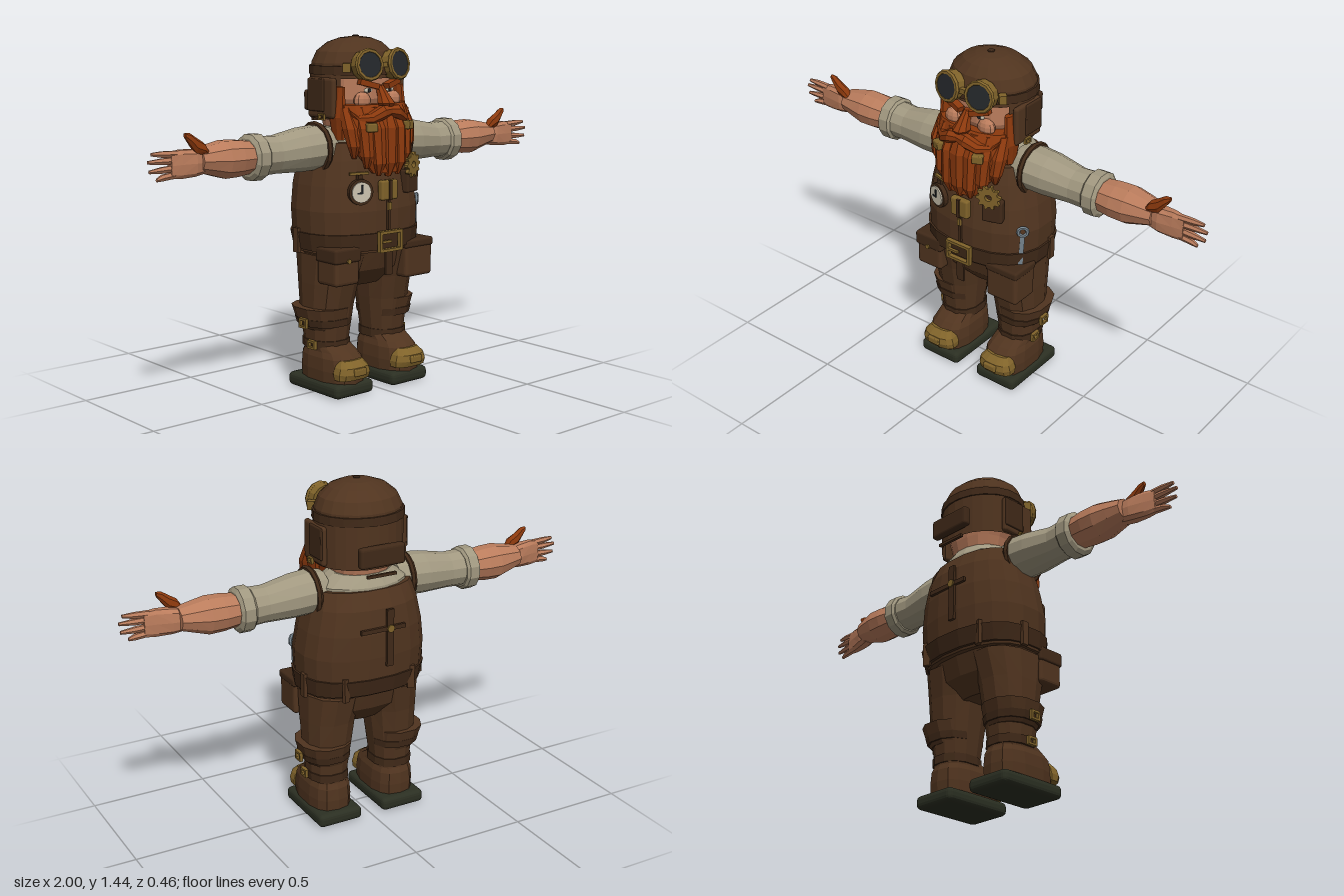
import * as THREE from 'three';
import { RoundedBoxGeometry } from 'three/addons/geometries/RoundedBoxGeometry.js';

const mat = (name, color) => new THREE.MeshStandardMaterial({ name, color });

// Lofts rings [y, cx, cz, rx, rz] upward; e is the superellipse exponent.
function loft(rings, n = 14, e = 2) {
  const pos = [], idx = [], pw = v => Math.sign(v) * Math.abs(v) ** (2 / e);
  for (const [y, cx, cz, rx, rz] of rings)
    for (let j = 0; j < n; j++) {
      const a = (j + 0.5) / n * Math.PI * 2;
      pos.push(cx + rx * pw(Math.cos(a)), y, cz + rz * pw(Math.sin(a)));
    }
  const top = rings.length - 1;
  for (let i = 0; i < top; i++)
    for (let j = 0; j < n; j++) {
      const a = i * n + j, b = i * n + (j + 1) % n;
      idx.push(a, a + n, b, b, a + n, b + n);
    }
  const c = rings.length * n;
  for (const r of [rings[0], rings[top]]) pos.push(r[1], r[0], r[2]);
  for (let j = 0; j < n; j++) {
    const k = (j + 1) % n;
    idx.push(c, j, k, c + 1, top * n + k, top * n + j);
  }
  const g = new THREE.BufferGeometry();
  g.setAttribute('position', new THREE.Float32BufferAttribute(pos, 3));
  g.setIndex(idx);
  return g;
}
// Rings given as [x, y, z, ry, rz], lofted outward along x.
const loftX = (rings, n, e) =>
  loft(rings.map(([x, y, z, ry, rz]) => [x, -y, z, ry, rz]), n, e).rotateZ(-Math.PI / 2);

const at = (g, x, y, z, rx = 0, ry = 0, rz = 0) =>
  g.applyMatrix4(new THREE.Matrix4().makeRotationFromEuler(new THREE.Euler(rx, ry, rz)).setPosition(x, y, z));
const box = (w, h, d) => new THREE.BoxGeometry(w, h, d);
const rbox = (w, h, d, r = 0.015) => new RoundedBoxGeometry(w, h, d, 2, r);
const disc = (r, d, n = 16) => new THREE.CylinderGeometry(r, r, d, n).rotateX(Math.PI / 2);
const ball = (rx, ry, rz) => new THREE.SphereGeometry(1, 10, 7).scale(rx, ry, rz);

// Rectangular frame, used for the buckles.
function frame(w, h, t, d) {
  const rect = (S, a, b) => new S().moveTo(-a, -b).lineTo(a, -b).lineTo(a, b).lineTo(-a, b).closePath();
  const s = rect(THREE.Shape, w / 2, h / 2);
  s.holes.push(rect(THREE.Path, w / 2 - t, h / 2 - t));
  return new THREE.ExtrudeGeometry(s, { depth: d, bevelEnabled: false }).translate(0, 0, -d / 2);
}

export function createModel() {
  const root = new THREE.Group();
  root.name = 'tinkerer';
  const leather = mat('leather', 0x50341f), dark = mat('darkLeather', 0x402918),
    shirt = mat('linen', 0xa19880), skin = mat('skin', 0xba7c5c), hair = mat('gingerHair', 0x8c390d),
    brass = mat('brass', 0x80632a), rubber = mat('rubber', 0x2b2f22), lens = mat('lens', 0x25282b),
    steel = mat('steel', 0x75838c), ivory = mat('ivory', 0xcdc4b0);
  leather.side = THREE.DoubleSide;

  const faceted = g => {
    const f = g.index ? g.toNonIndexed() : g;
    f.computeVertexNormals();
    return f;
  };
  const add = (name, g, m) => {
    const mesh = new THREE.Mesh(faceted(g), m);
    mesh.name = name;
    root.add(mesh);
  };
  // Adds the part on +x and its mirror image on -x.
  const both = (name, g, m) => {
    const f = g.index ? g.toNonIndexed() : g, r = f.clone(), p = r.attributes.position, q = f.attributes.position;
    for (let i = 0; i < p.count; i++) {
      const k = i % 3 === 1 ? i + 1 : i % 3 === 2 ? i - 1 : i;
      p.setXYZ(i, -q.getX(k), q.getY(k), q.getZ(k));
    }
    add(name + 'Left', f, m);
    add(name + 'Right', r, m);
  };

  // Torso
  add('pelvis', loft([[0.43, 0, -0.01, 0.1, 0.08], [0.5, 0, -0.01, 0.22, 0.14], [0.6, 0, -0.01, 0.25, 0.17]], 18, 2.4), leather);
  add('vest', loft([[0.58, 0, -0.01, 0.258, 0.185], [0.66, 0, -0.018, 0.268, 0.202], [0.75, 0, -0.02, 0.272, 0.206],
    [0.85, 0, -0.027, 0.258, 0.198], [0.95, 0, -0.03, 0.235, 0.182], [1.02, 0, -0.025, 0.215, 0.155]], 20, 2.4), leather);
  add('shirtYoke', loft([[0.95, 0, -0.03, 0.2, 0.15], [1.03, 0, -0.035, 0.2, 0.14], [1.075, 0, -0.035, 0.13, 0.11]], 16), shirt);
  add('belt', loft([[0.59, 0, -0.013, 0.267, 0.198], [0.66, 0, -0.018, 0.276, 0.21]], 20, 2.4), dark);
  add('beltBuckle', at(frame(0.12, 0.085, 0.012, 0.02), 0, 0.625, 0.2), brass);
  add('bucklePin', at(box(0.05, 0.01, 0.012), -0.025, 0.625, 0.206), brass);
  add('beltTongue', at(box(0.035, 0.1, 0.01), 0, 0.535, 0.19), dark);
  add('zip', at(box(0.012, 0.13, 0.01), 0, 0.735, 0.19), dark);
  add('zipPull', at(box(0.014, 0.03, 0.01), 0, 0.765, 0.196), brass);
  add('chestClasp', at(rbox(0.085, 0.08, 0.03, 0.008), 0, 0.83, 0.185), brass);
  add('claspBar', at(box(0.014, 0.08, 0.012), 0, 0.83, 0.2), dark);
  // Straps and loops on the back
  add('backStrap', at(box(0.03, 0.24, 0.012), -0.03, 0.83, -0.228), dark);
  add('backYoke', at(box(0.2, 0.018, 0.012), 0, 0.87, -0.226), dark);
  add('backStud', at(disc(0.016, 0.02, 8), -0.03, 0.87, -0.23), brass);
  both('beltLoop', at(box(0.03, 0.1, 0.015), 0.15, 0.625, -0.195, 0, 0.35), leather);
  both('sideLoop', at(box(0.015, 0.1, 0.03), 0.27, 0.625, -0.06), leather);

  // Arms
  both('armhole', at(new THREE.TorusGeometry(0.096, 0.013, 6, 16).rotateY(Math.PI / 2), 0.215, 0.995, -0.01), dark);
  both('sleeve', loftX([[0.16, 0.995, -0.01, 0.085, 0.085], [0.22, 1, -0.01, 0.09, 0.097], [0.3, 0.995, -0.012, 0.088, 0.093],
    [0.42, 0.985, -0.015, 0.075, 0.075], [0.5, 0.985, -0.018, 0.078, 0.078]], 12), shirt);
  both('sleeveCuff', loftX([[0.48, 0.982, -0.02, 0.08, 0.08], [0.49, 0.982, -0.02, 0.092, 0.09],
    [0.535, 0.982, -0.02, 0.092, 0.09], [0.545, 0.982, -0.02, 0.075, 0.075]], 12), shirt);
  both('forearm', loftX([[0.53, 0.985, -0.02, 0.064, 0.07], [0.6, 0.985, -0.02, 0.073, 0.08], [0.66, 0.985, -0.02, 0.075, 0.08],
    [0.72, 0.988, -0.018, 0.06, 0.068], [0.775, 0.99, -0.015, 0.046, 0.055]], 10), skin);
  both('palm', loftX([[0.76, 0.985, -0.01, 0.046, 0.034], [0.8, 0.985, -0.005, 0.052, 0.036],
    [0.86, 0.985, 0, 0.055, 0.024], [0.905, 0.983, 0.003, 0.05, 0.015]], 10, 3), skin);
  [[1.024, 1.03, 0.985], [1, 1.002, 1], [0.972, 0.967, 0.995], [0.948, 0.935, 0.965]].forEach(([y0, y1, x], i) =>
    both('finger' + (i + 1), loftX([[0.88, y0, 0.003, 0.014, 0.015], [0.94, (y0 + y1) / 2, 0.004, 0.013, 0.013],
      [x, y1, 0.007, 0.007, 0.007]], 6), skin));
  both('thumb', loftX([[0.74, 1.01, 0.012, 0.012, 0.012], [0.765, 1.035, 0.015, 0.025, 0.022],
    [0.8, 1.05, 0.015, 0.032, 0.02], [0.825, 1.075, 0.015, 0.024, 0.016], [0.845, 1.09, 0.014, 0.01, 0.009]], 7), hair);

  // Legs and boots
  both('leg', loft([[0.18, 0.153, -0.02, 0.08, 0.09], [0.35, 0.15, -0.02, 0.1, 0.112],
    [0.45, 0.145, -0.015, 0.108, 0.13], [0.57, 0.13, -0.01, 0.122, 0.16]], 12, 2.3), leather);
  both('bootCuff', loft([[0.26, 0.158, -0.025, 0.09, 0.097], [0.285, 0.165, -0.025, 0.1, 0.108], [0.35, 0.17, -0.028, 0.112, 0.126]], 12, 2.3), leather);
  both('upperStrap', loft([[0.275, 0.162, -0.023, 0.102, 0.112], [0.305, 0.165, -0.024, 0.108, 0.116]], 12, 2.3), dark);
  both('lowerStrap', loft([[0.18, 0.152, -0.02, 0.088, 0.1], [0.215, 0.153, -0.02, 0.088, 0.1]], 12, 2.3), dark);
  both('upperStrapBuckle', at(frame(0.045, 0.04, 0.009, 0.014), 0.276, 0.29, -0.015, 0, Math.PI / 2), brass);
  both('lowerStrapBuckle', at(frame(0.045, 0.035, 0.009, 0.014), 0.244, 0.198, 0, 0, Math.PI / 2), brass);
  both('boot', loft([[0.045, 0.15, 0.017, 0.09, 0.143], [0.1, 0.15, 0.017, 0.092, 0.146], [0.15, 0.15, 0.013, 0.088, 0.138],
    [0.172, 0.15, 0.005, 0.08, 0.12], [0.2, 0.152, -0.02, 0.078, 0.09]], 14, 2.8), leather);
  both('toeCap', loft([[0.075, 0.153, 0.14, 0.08, 0.045], [0.1, 0.153, 0.14, 0.082, 0.055],
    [0.125, 0.153, 0.14, 0.074, 0.05], [0.15, 0.153, 0.13, 0.055, 0.03]], 12, 2.6), brass);
  both('toeRivet', at(rbox(0.06, 0.03, 0.02, 0.006), 0.153, 0.108, 0.192), brass);
  both('sole', at(rbox(0.2, 0.056, 0.32, 0.02), 0.15, 0.028, 0.005), rubber);

  // Pouches and tools
  add('toolPouch', at(rbox(0.15, 0.15, 0.13), 0.19, 0.525, 0.105), leather);
  add('toolPouchRim', at(rbox(0.157, 0.035, 0.137, 0.01), 0.19, 0.59, 0.105), dark);
  add('beltPouch', at(rbox(0.125, 0.14, 0.12), -0.192, 0.53, 0.105), leather);
  add('beltPouchFlap', at(rbox(0.135, 0.06, 0.128, 0.01), -0.192, 0.582, 0.106), dark);
  add('pouchStud', at(disc(0.01, 0.012, 8), -0.192, 0.56, 0.17), brass);
  [[0.15, 0.145, 0.06], [0.235, 0.095, -0.06]].forEach(([x, z, tilt], i) => {
    add('wrenchHandle' + i, at(box(0.018, 0.16, 0.012), x, 0.665, z, 0, 0.7, tilt), steel);
    add('wrenchHead' + i, at(new THREE.TorusGeometry(0.019, 0.008, 6, 10), x - tilt * 0.12, 0.76, z, 0, 0.7), steel);
  });

  // Chest trinkets
  add('watchCase', at(disc(0.052, 0.02, 20), -0.128, 0.83, 0.165, 0, -0.3), dark);
  add('watchFace', at(disc(0.041, 0.006, 20), -0.132, 0.83, 0.177, 0, -0.3), ivory);
  add('watchHand', at(box(0.006, 0.035, 0.004), -0.132, 0.842, 0.182, 0, -0.3), lens);
  add('watchShortHand', at(box(0.022, 0.006, 0.004), -0.142, 0.827, 0.179, 0, -0.3), lens);
  add('watchCrown', at(box(0.02, 0.02, 0.014), -0.128, 0.888, 0.158), dark);
  add('watchBar', at(box(0.08, 0.01, 0.012), -0.125, 0.902, 0.153, 0, -0.3), brass);
  add('chestPocket', at(rbox(0.085, 0.095, 0.04, 0.008), 0.142, 0.853, 0.157, 0, 0.3), dark);
  const gear = new THREE.Shape();
  for (let i = 0; i < 40; i++) {
    const a = i / 40 * Math.PI * 2, r = i % 4 < 2 ? 0.052 : 0.04;
    gear[i ? 'lineTo' : 'moveTo'](r * Math.cos(a), r * Math.sin(a));
  }
  gear.holes.push(new THREE.Path().absarc(0, 0, 0.014, 0, Math.PI * 2, true));
  add('gear', at(new THREE.ExtrudeGeometry(gear, { depth: 0.016, bevelEnabled: false, curveSegments: 8 }), 0.135, 0.92, 0.172, 0, 0.3), brass);

  // Head and face
  add('head', loft([[1.03, 0, -0.03, 0.11, 0.1], [1.12, 0, -0.025, 0.13, 0.125], [1.19, 0, -0.015, 0.155, 0.145], [1.3, 0, -0.015, 0.155, 0.145]], 16, 2.3), skin);
  both('cheek', at(ball(0.04, 0.035, 0.025), 0.08, 1.185, 0.12), skin);
  both('eyeWhite', at(ball(0.022, 0.01, 0.006), 0.057, 1.225, 0.129), ivory);
  both('pupil', at(disc(0.008, 0.006, 8), 0.055, 1.225, 0.134), lens);
  both('brow', at(box(0.085, 0.022, 0.03), 0.062, 1.25, 0.138, 0, 0.25, 0.25), hair);
  add('nose', loft([[1.15, 0, 0.17, 0.02, 0.025], [1.175, 0, 0.175, 0.036, 0.038], [1.2, 0, 0.16, 0.026, 0.03], [1.245, 0, 0.13, 0.014, 0.02]], 8), hair);

  // Beard
  add('beardMass', loft([[0.9, 0, 0.17, 0.07, 0.03], [0.97, 0, 0.155, 0.125, 0.05], [1.06, 0, 0.125, 0.165, 0.075],
    [1.12, 0, 0.1, 0.17, 0.09], [1.17, 0, 0.09, 0.165, 0.07]], 14), hair);
  add('centreLock', loft([[0.885, 0, 0.185, 0.012, 0.012], [0.94, 0, 0.195, 0.036, 0.025], [1.08, 0, 0.188, 0.045, 0.035], [1.14, 0, 0.17, 0.03, 0.03]], 7), hair);
  [[0.055, 0.05, 0.89, 0.185], [0.105, 0.095, 0.92, 0.165], [0.15, 0.135, 0.96, 0.135]].forEach(([x, tip, y, z], i) =>
    both('beardLock' + i, loft([[y, tip, z, 0.009, 0.009], [y + 0.05, (x + tip) / 2, z + 0.01, 0.029, 0.024],
      [1.08, x, z - 0.005, 0.033, 0.035], [1.16, x * 0.98, z - 0.04, 0.026, 0.026]], 7), hair));
  both('sideburn', loft([[1.03, 0.15, 0.06, 0.018, 0.03], [1.12, 0.162, 0.065, 0.022, 0.045], [1.24, 0.155, 0.07, 0.014, 0.03]], 8), hair);
  both('moustache', loftX([[0, 1.145, 0.188, 0.022, 0.026], [0.04, 1.14, 0.192, 0.03, 0.03], [0.09, 1.115, 0.175, 0.024, 0.026],
    [0.13, 1.115, 0.145, 0.015, 0.018], [0.155, 1.145, 0.13, 0.006, 0.008]], 8), hair);
  both('upperBead', at(rbox(0.045, 0.035, 0.03, 0.006), 0.098, 1.085, 0.198, 0, 0.4), brass);

  // Flying cap
  add('capDome', loft([[1.27, 0, -0.025, 0.182, 0.163], [1.33, 0, -0.025, 0.18, 0.16], [1.375, 0, -0.022, 0.16, 0.143],
    [1.41, 0, -0.018, 0.117, 0.105], [1.428, 0, -0.015, 0.065, 0.06], [1.434, 0, -0.012, 0.015, 0.015]], 20), leather);
  add('capBand', loft([[1.285, 0, -0.025, 0.189, 0.171], [1.32, 0, -0.025, 0.188, 0.169]], 20), dark);
  add('capCurtain', at(new THREE.CylinderGeometry(1, 1, 0.18, 18, 1, true, 0.95, Math.PI * 2 - 1.9).scale(0.184, 1, 0.165), 0, 1.2, -0.025), leather);
  add('capButton', at(disc(0.014, 0.008, 8).rotateX(Math.PI / 2), 0, 1.434, -0.012), dark);
  both('earFlap', at(rbox(0.025, 0.16, 0.16, 0.012), 0.18, 1.195, -0.005), leather);
  both('earPad', at(rbox(0.014, 0.13, 0.1, 0.006), 0.191, 1.205, -0.03), dark);
  both('flapBuckle', at(frame(0.035, 0.025, 0.006, 0.012), 0.196, 1.12, 0.01, 0, Math.PI / 2), brass);
  add('neckRoll', at(rbox(0.2, 0.085, 0.035, 0.012), 0, 1.17, -0.21), dark);
  add('neckRollStrap', at(box(0.13, 0.012, 0.012), 0, 1.09, -0.21), dark);

  // Goggles
  both('goggleRim', at(disc(0.06, 0.04, 12), 0.075, 1.325, 0.14, -0.12, 0.15), brass);
  both('goggleRing', at(new THREE.TorusGeometry(0.056, 0.01, 6, 12), 0.078, 1.327, 0.161, -0.12, 0.15), brass);
  both('goggleLens', at(disc(0.05, 0.008, 16), 0.078, 1.327, 0.164, -0.12, 0.15), lens);
  add('goggleBridge', at(box(0.04, 0.02, 0.02), 0, 1.325, 0.152), brass);
  both('goggleHinge', at(box(0.03, 0.035, 0.03), 0.142, 1.315, 0.1, 0, 0.8), brass);

  return root;
}
